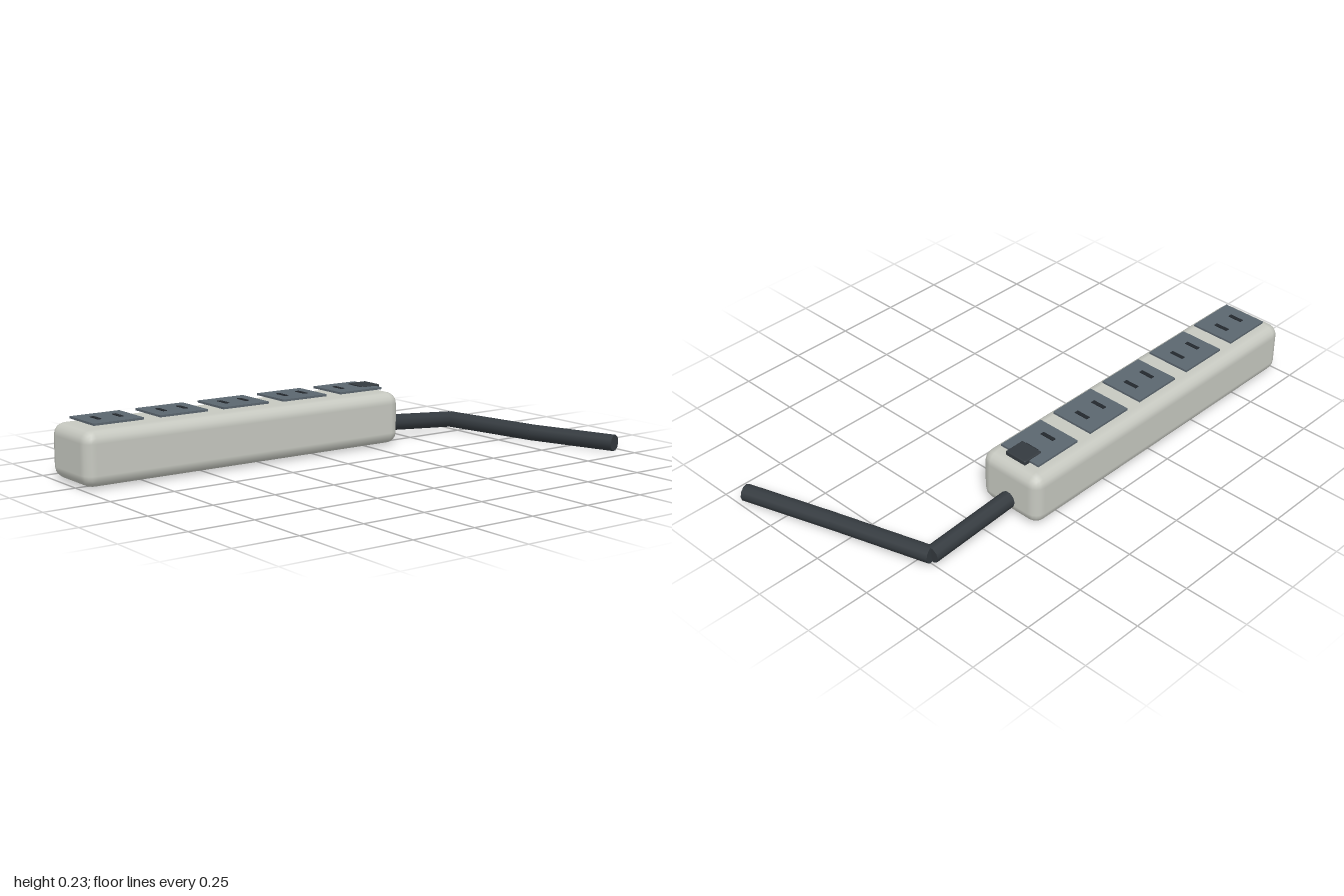
import * as THREE from 'three';
import { RoundedBoxGeometry } from 'three/addons/geometries/RoundedBoxGeometry.js';

const paint = (name, color) => Object.assign(new THREE.MeshStandardMaterial({ color }), { name });

export function createModel() {
  const group = new THREE.Group();
  const casing = paint('warm grey casing', 0xc6c8c0);
  const slate = paint('slate outlet', 0x5b666f);
  const dark = paint('dark slot', 0x23282d);
  const rubber = paint('charcoal rubber', 0x343a3f);
  const Z = -0.3; // centre line of the strip

  const add = (name, geometry, material, x, y, z) => {
    const mesh = new THREE.Mesh(geometry, material);
    mesh.name = name;
    mesh.position.set(x, y, z);
    group.add(mesh);
    return mesh;
  };

  // Rounded housing
  add('housing', new RoundedBoxGeometry(1.38, 0.203, 0.272, 2, 0.045), casing, -0.31, 0.1115, Z);

  // Five outlets, each a thin plate with two slots
  const plate = new THREE.BoxGeometry(0.2, 0.008, 0.178);
  const slot = new THREE.BoxGeometry(0.016, 0.008, 0.058);
  for (let i = 0; i < 5; i++) {
    const x = -0.842 + i * 0.266;
    add('outletPlate', plate, slate, x, 0.228, Z);
    for (const side of [-1, 1]) add('outletSlot', slot, dark, x + side * 0.044, 0.2305, Z);
  }

  // Power switch
  add('powerSwitch', new RoundedBoxGeometry(0.084, 0.019, 0.093, 2, 0.005), rubber, 0.302, 0.2275, Z);

  // Cord made of straight lengths
  const path = [[0.36, 0.071, Z], [0.75, 0.044, Z], [0.855, 0.035, 0.08], [0.965, 0.035, 0.427]]
    .map((p) => new THREE.Vector3(...p));
  const up = new THREE.Vector3(0, 1, 0);
  for (let i = 0; i < path.length - 1; i++) {
    const dir = path[i + 1].clone().sub(path[i]);
    const mid = path[i].clone().add(path[i + 1]).multiplyScalar(0.5);
    const cord = add('cord', new THREE.CylinderGeometry(0.032, 0.032, dir.length(), 10), rubber, mid.x, mid.y, mid.z);
    cord.quaternion.setFromUnitVectors(up, dir.normalize());
  }
  return group;
}
